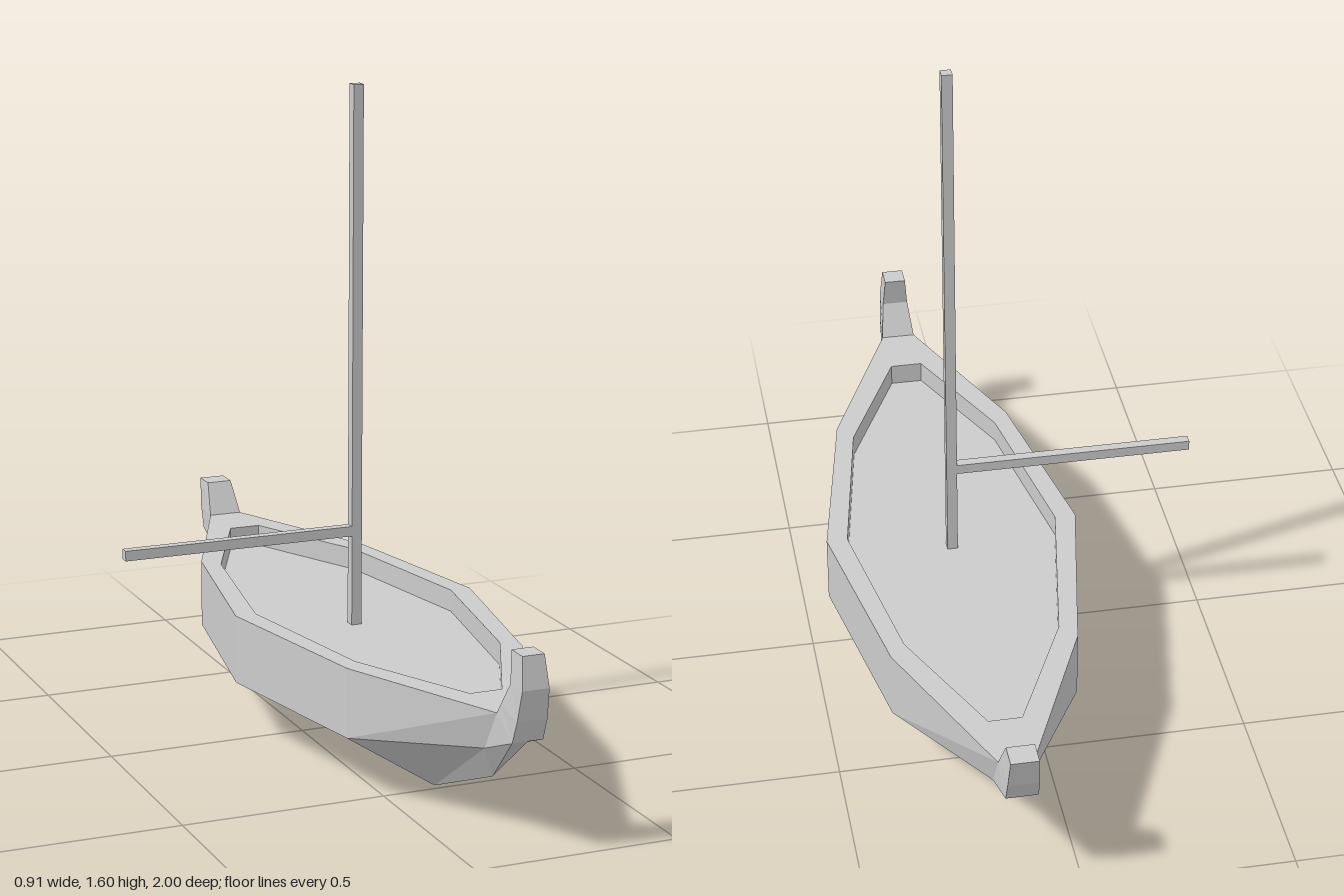
import * as THREE from 'three';

const CX = 0.14; // the hull's centreline

// Cross-sections of one hull quarter, from the middle of the deck round to the keel: [half width, y, z]
const stations = [
  [[0, 0.265, 0], [0.263, 0.265, 0], [0.263, 0.32, 0], [0.315, 0.32, 0], [0.315, 0.15, 0], [0, 0.003, 0]],
  [[0, 0.265, 0.437], [0.187, 0.265, 0.437], [0.187, 0.32, 0.437], [0.225, 0.32, 0.48], [0.225, 0.15, 0.48], [0, 0.003, 0.48]],
  [[0, 0.265, 0.75], [0.04, 0.265, 0.75], [0.04, 0.32, 0.75], [0.043, 0.32, 0.895], [0.045, 0.22, 0.84], [0, 0.13, 0.79]],
];

// Levels of the curved stem: inner and outer edge
const stem = [
  { inner: [0.043, 0.32, 0.895], outer: [0.038, 0.27, 0.963] },
  { inner: [0.04, 0.345, 0.909], outer: [0.037, 0.325, 0.984] },
  { inner: [0.033, 0.4, 0.94], outer: [0.033, 0.4, 0.999] },
  { inner: [0.027, 0.475, 0.93], outer: [0.027, 0.475, 0.984] },
];

const mid = ([, y, z]) => [0, y, z];

function quarterFaces(levels) {
  const faces = [];
  // Recessed deck, rim, sides and bottom
  for (let i = 0; i < 2; i++) {
    const a = stations[i], b = stations[i + 1];
    for (let j = 0; j < 5; j++) faces.push([a[j], b[j], b[j + 1], a[j + 1]]);
  }
  // End of the recess and of the deck
  const [floorMid, floorEdge, lip, rim, chine, keel] = stations[2];
  faces.push([floorMid, mid(lip), lip, floorEdge], [mid(lip), mid(rim), rim, lip]);
  // Foot of the stem
  const foot = stem[0].outer;
  faces.push([rim, foot, chine], [chine, foot, mid(foot), keel]);
  // Stem
  for (let i = 0; i < levels - 1; i++) {
    const a = stem[i], b = stem[i + 1];
    faces.push(
      [a.inner, b.inner, b.outer, a.outer],
      [mid(a.inner), mid(b.inner), b.inner, a.inner],
      [a.outer, b.outer, mid(b.outer), mid(a.outer)],
    );
  }
  const top = stem[levels - 1];
  faces.push([mid(top.inner), mid(top.outer), top.outer, top.inner]);
  return faces;
}

function hullGeometry() {
  const positions = [];
  for (const sz of [1, -1]) {
    const faces = quarterFaces(sz > 0 ? 4 : 3); // the bow stem is one level taller
    for (const sx of [1, -1]) {
      for (const face of faces) {
        const pts = face.map(([x, y, z]) => [x * sx, y, z * sz]);
        if (sx * sz < 0) pts.reverse();
        for (let i = 1; i < pts.length - 1; i++) positions.push(...pts[0], ...pts[i], ...pts[i + 1]);
      }
    }
  }
  const geometry = new THREE.BufferGeometry();
  geometry.setAttribute('position', new THREE.Float32BufferAttribute(positions, 3));
  geometry.computeVertexNormals();
  return geometry;
}

export function createModel() {
  const group = new THREE.Group();
  group.name = 'sailboat';
  const material = new THREE.MeshStandardMaterial({ color: 0xcccccc, flatShading: true });

  const add = (name, geometry, x, y, z) => {
    const mesh = new THREE.Mesh(geometry, material);
    mesh.name = name;
    mesh.position.set(x, y, z);
    group.add(mesh);
  };

  add('hull', hullGeometry(), CX, 0, 0);
  add('mast', new THREE.BoxGeometry(0.026, 1.34, 0.026), CX, 0.935, 0);
  add('boom', new THREE.BoxGeometry(0.59, 0.025, 0.024), -0.165, 0.505, 0);

  return group;
}
